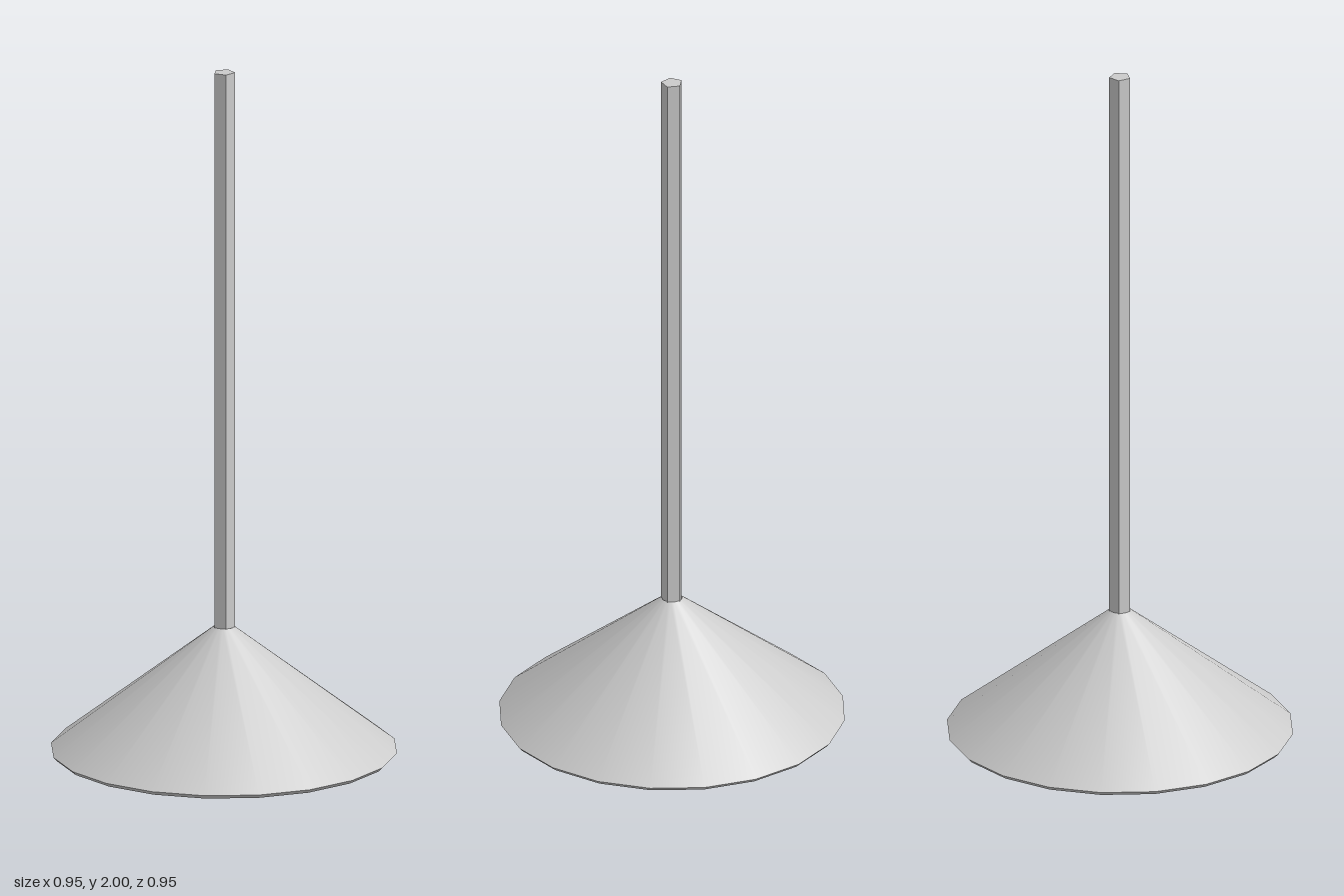
import * as THREE from 'three';

export function createModel() {
  const model = new THREE.Group();
  const smooth = new THREE.MeshStandardMaterial({ color: 0xcccccc, side: THREE.DoubleSide });
  const faceted = new THREE.MeshStandardMaterial({ color: 0xcccccc, flatShading: true });

  const add = (name, geometry, material) => {
    const mesh = new THREE.Mesh(geometry, material);
    mesh.name = name;
    model.add(mesh);
    return mesh;
  };
  // Turned part from [radius, height] pairs, with its first corner on +x
  const turned = (profile, sides) =>
    new THREE.LatheGeometry(profile.map(([r, y]) => new THREE.Vector2(r, y)), sides, Math.PI / 2);

  // Hollow conical shade: each band is separate so the rim edges stay sharp
  const bands = {
    shadeOuter: [[0.475, 0.081], [0.028, 0.427]],
    shadeLip: [[0.465, 0.07], [0.475, 0.081]],
    shadeInner: [[0.02, 0.414], [0.465, 0.07]],
  };
  for (const [name, profile] of Object.entries(bands)) add(name, turned(profile, 20), smooth);

  // Five-sided hanging rod, running through the shade to the bulb
  add('rod', turned([[0, 0.28], [0.03, 0.28], [0.03, 2], [0, 2]], 5), faceted);

  // Low-poly round bulb, with a corner on +x
  const radius = 0.148;
  const bulb = add('bulb', new THREE.SphereGeometry(radius, 7, 7, Math.PI), faceted);
  bulb.position.y = radius;

  return model;
}
